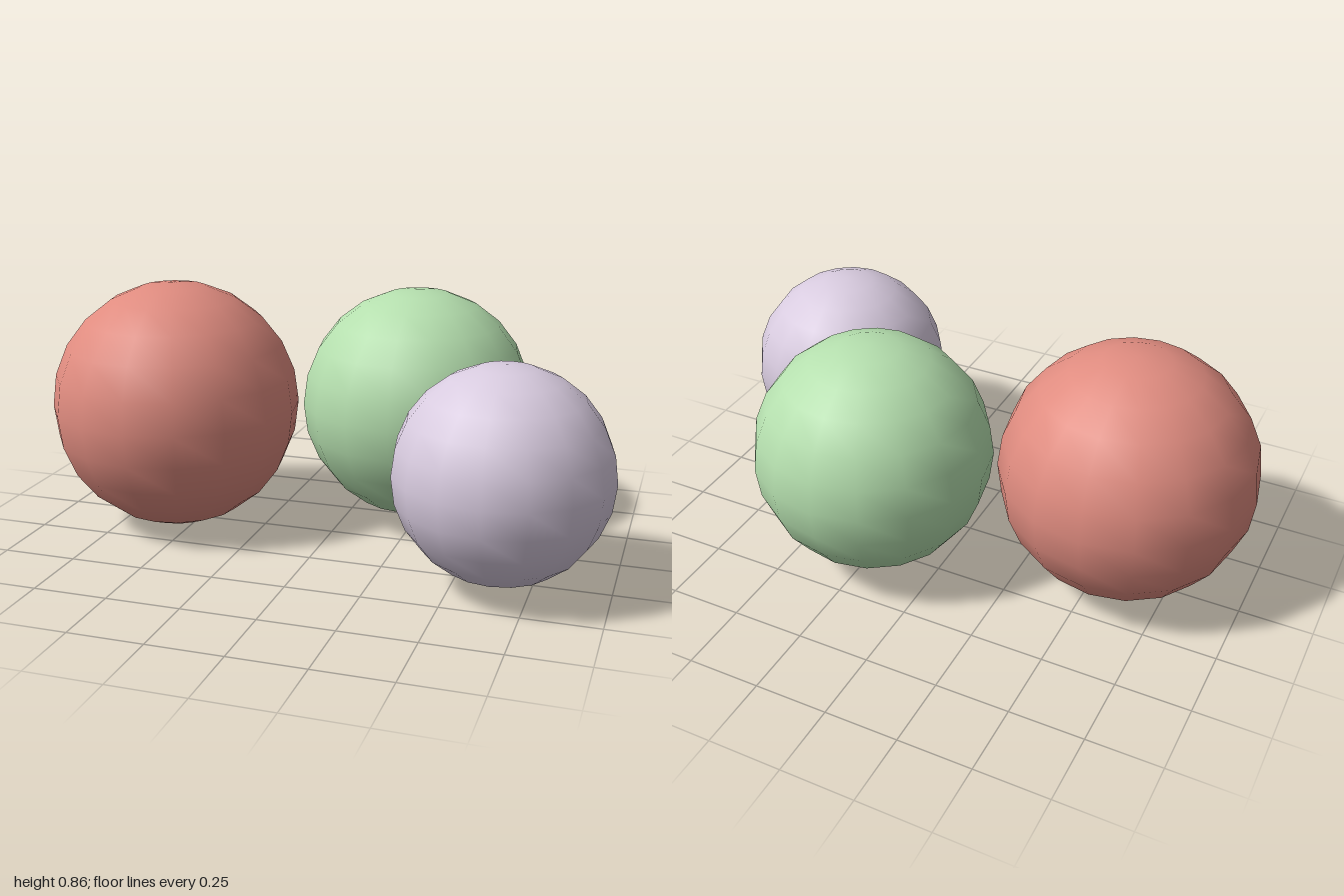
import * as THREE from 'three';

export function createModel() {
  const group = new THREE.Group();

  const material = (name, color) => {
    const m = new THREE.MeshStandardMaterial({ color });
    m.name = name;
    return m;
  };

  // Smooth-shaded ball, 16 sides around and 12 from pole to pole
  const addBall = (name, radius, position, mat) => {
    const ball = new THREE.Mesh(new THREE.SphereGeometry(radius, 16, 12), mat);
    ball.name = name;
    ball.position.set(...position);
    group.add(ball);
  };

  // Large ball standing apart, then two balls that overlap
  addBall('largeBall', 0.432, [-0.568, 0.433, 0.025], material('coral red', 0xe08c80));
  addBall('middleBall', 0.404, [0.241, 0.434, -0.244], material('soft green', 0xb5dfae));
  addBall('smallBall', 0.35, [0.649, 0.381, 0.298], material('pale lavender', 0xd8cbdf));

  return group;
}
